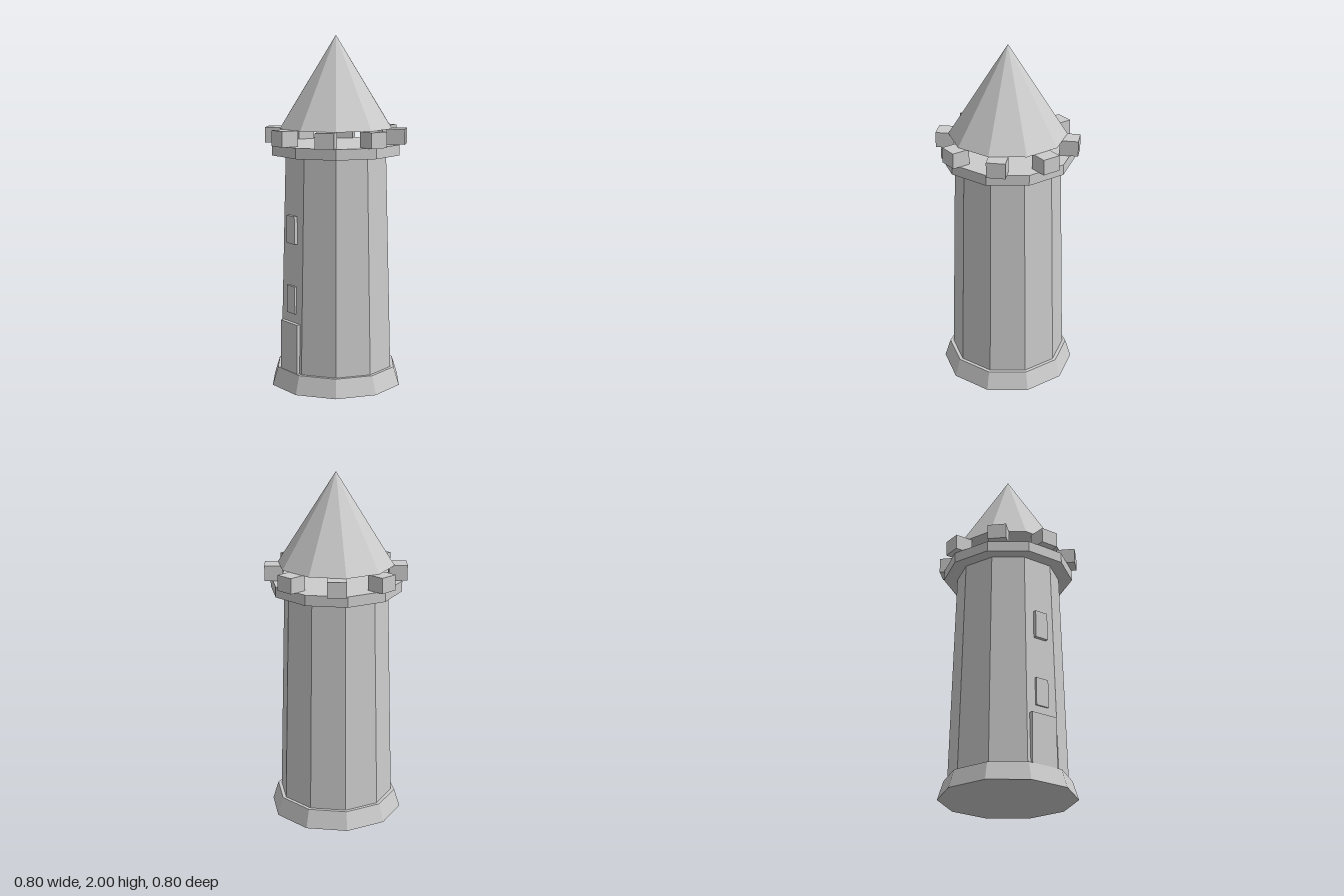
import * as THREE from 'three';

export function createModel() {
  const tower = new THREE.Group();
  tower.name = 'tower';
  const stone = new THREE.MeshStandardMaterial({ color: 0xcccccc, flatShading: true });
  stone.name = 'stone';

  function add(name, geometry, x, y, z) {
    const mesh = new THREE.Mesh(geometry, stone);
    mesh.name = name;
    mesh.position.set(x, y, z);
    tower.add(mesh);
    return mesh;
  }

  // Ten-sided section between two heights, with a flat side facing the front
  function section(name, bottom, top, rBottom, rTop) {
    const geometry = new THREE.CylinderGeometry(rTop, rBottom, top - bottom, 10, 1, false, Math.PI / 10);
    return add(name, geometry, 0, (bottom + top) / 2, 0);
  }

  section('base', 0, 0.105, 0.383, 0.35);
  section('shaft', 0.105, 1.332, 0.33, 0.297);
  section('parapetRing', 1.332, 1.392, 0.375, 0.375);
  section('roof', 1.48, 2, 0.331, 0);

  // Eight battlement blocks around the ring
  for (let i = 0; i < 8; i++) {
    const a = (i * Math.PI) / 4;
    const block = add('battlement', new THREE.BoxGeometry(0.105, 0.088, 0.105),
      0.3475 * Math.sin(a), 1.436, 0.3475 * Math.cos(a));
    block.rotation.y = a;
  }

  // Door and two windows set into the front wall
  add('door', new THREE.BoxGeometry(0.164, 0.295, 0.03), 0, 0.2425, 0.315);
  add('lowerWindow', new THREE.BoxGeometry(0.08, 0.158, 0.02), 0, 0.521, 0.305);
  add('upperWindow', new THREE.BoxGeometry(0.08, 0.158, 0.02), 0, 0.921, 0.305);

  return tower;
}
